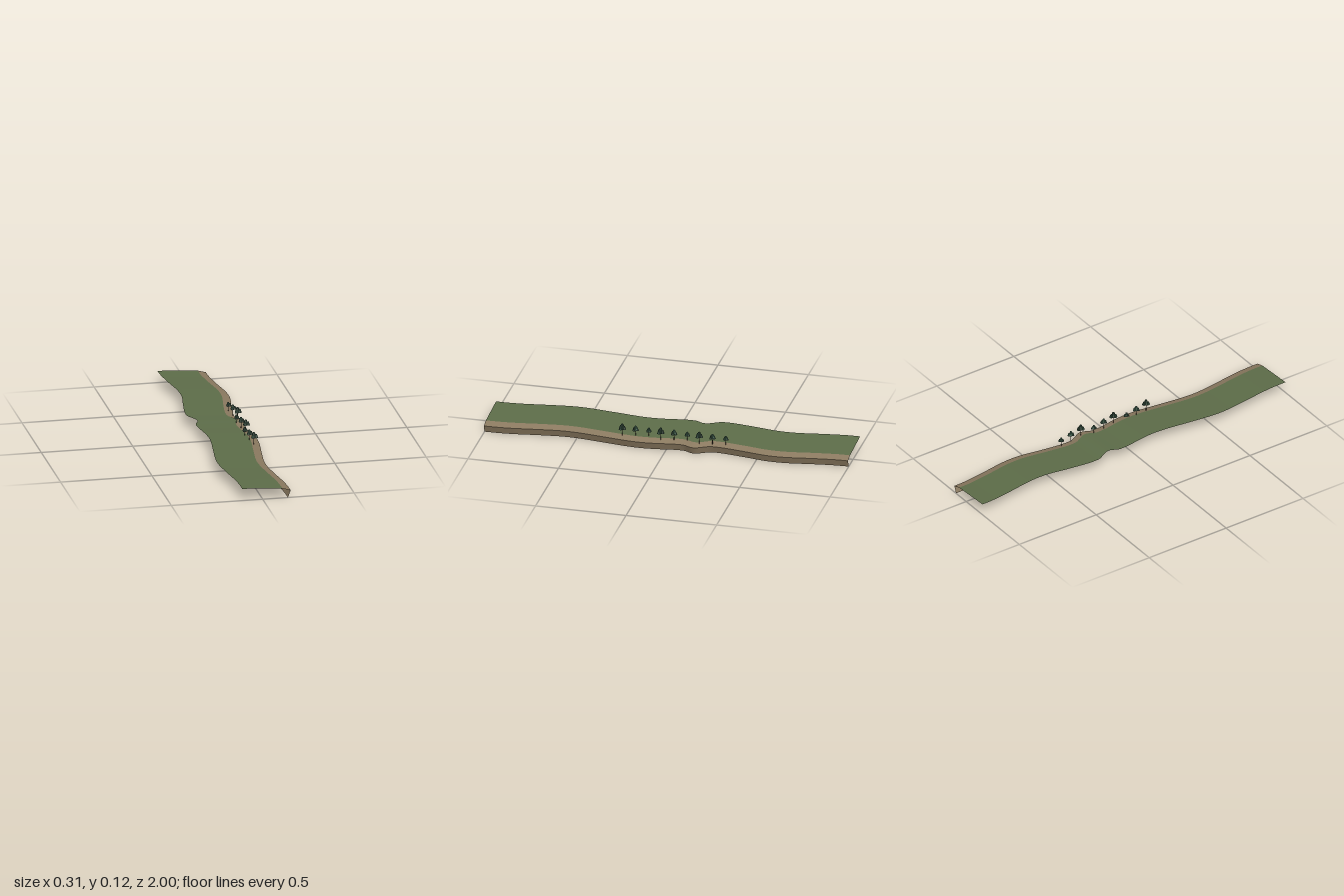
import * as THREE from 'three';

const mat = (name, color, extra = {}) => {
  const m = new THREE.MeshStandardMaterial({ color, ...extra });
  m.name = name;
  return m;
};

// Sideways shift of the coastline along its length: [z, shift]
const COAST = [
  [-1, 0], [-0.93, 0.002], [-0.8, 0.018], [-0.66, 0.039], [-0.56, 0.04], [-0.42, 0.018],
  [-0.29, 0.001], [-0.235, 0.004], [-0.2, 0.022], [-0.165, 0.039], [-0.14, 0.038],
  [-0.1, 0.02], [-0.07, 0.018], [-0.03, 0.021], [0.05, 0.034], [0.13, 0.041], [0.2, 0.039],
  [0.35, 0.02], [0.5, 0.002], [0.58, 0.001], [0.7, 0.014], [0.85, 0.035], [0.93, 0.041], [1, 0.042],
];
const coastline = new THREE.CatmullRomCurve3(
  COAST.map(([z, s]) => new THREE.Vector3(s, 0, z)), false, 'centripetal').getPoints(160);

// Sweeps the line from a to b (x, y) along the coastline
function strip(name, a, b, material) {
  const pos = [], index = [];
  coastline.forEach((p, i) => {
    pos.push(a[0] + p.x, a[1], p.z, b[0] + p.x, b[1], p.z);
    if (i) {
      const k = 2 * (i - 1);
      index.push(k, k + 2, k + 1, k + 1, k + 2, k + 3);
    }
  });
  const g = new THREE.BufferGeometry();
  g.setAttribute('position', new THREE.Float32BufferAttribute(pos, 3));
  g.setIndex(index);
  g.computeVertexNormals();
  const mesh = new THREE.Mesh(g, material);
  mesh.name = name;
  return mesh;
}

export function createModel() {
  const model = new THREE.Group();
  model.name = 'coastalCliff';
  const two = { side: THREE.DoubleSide };
  const grass = mat('grass green', 0x5d6d49, two);
  const earth = mat('sandy earth', 0x8b7a60, two);
  const bark = mat('bark brown', 0x54453a);
  const greens = [
    mat('pine green', 0x365443, { flatShading: true }),
    mat('light pine green', 0x3f604d, { flatShading: true }),
    mat('dark pine green', 0x2f4838, { flatShading: true }),
  ];

  // Land: grass field, bare shoulder and undercut cliff
  const edge = [-0.154, 0.067], brow = [0.066, 0.053], lip = [0.111, 0.04], foot = [0.096, 0];
  model.add(strip('grassField', edge, brow, grass));
  model.add(strip('cliffShoulder', brow, lip, earth));
  model.add(strip('cliffFace', lip, foot, earth));

  // Tree parts: trunk and clustered blunt cones [x, y, z, radius, height]
  const trunkGeo = new THREE.CylinderGeometry(0.0014, 0.002, 0.046, 6);
  const crown = [
    [0, 0.051, 0, 0.015, 0.026],
    [0.011, 0.046, 0.006, 0.011, 0.02],
    [-0.006, 0.044, 0.01, 0.01, 0.017],
    [0.003, 0.045, -0.011, 0.011, 0.018],
  ];
  const makeTree = (size, turn) => {
    const tree = new THREE.Group();
    tree.name = 'tree';
    const trunk = new THREE.Mesh(trunkGeo, bark);
    trunk.name = 'trunk';
    trunk.position.y = 0.019;
    tree.add(trunk);
    crown.forEach(([x, y, z, r, h], i) => {
      const clump = new THREE.Mesh(new THREE.CylinderGeometry(r * 0.4, r, h, 7), greens[(i + turn) % 3]);
      clump.name = 'foliage';
      clump.position.set(x, y, z);
      clump.rotation.y = i + turn;
      tree.add(clump);
    });
    tree.scale.setScalar(size);
    return tree;
  };

  // Row of nine trees, stepping through three sizes
  for (let i = 0; i < 9; i++) {
    const k = i % 3;
    const tree = makeTree([0.74, 0.87, 1][k], k);
    tree.position.set(0.09 + k * 0.0105, 0.053, -0.32 + i * 0.0708);
    model.add(tree);
  }
  return model;
}
